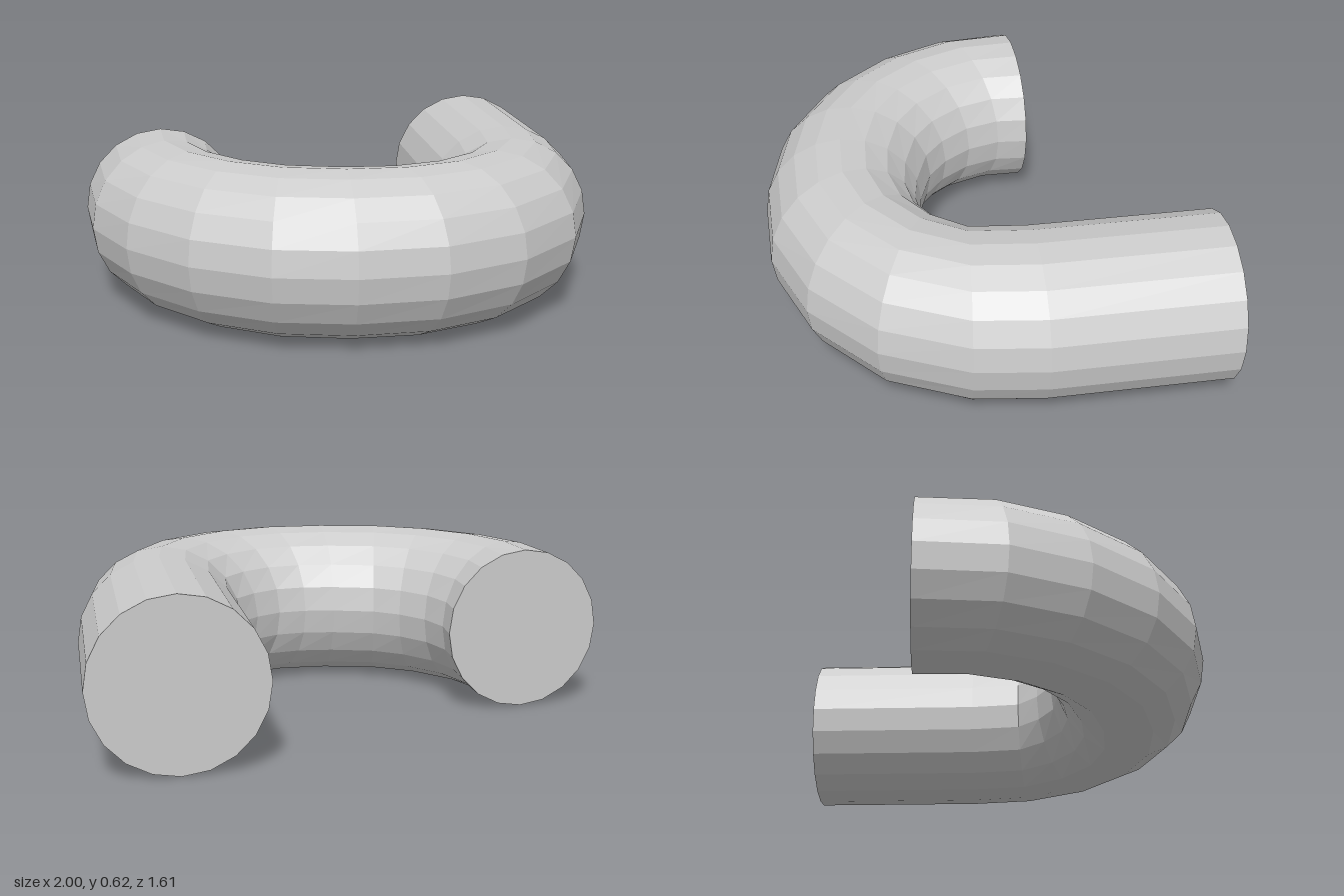
import * as THREE from 'three';

const SIDES = 20;
const RADIUS = 0.31;

// Cross-sections along the bend: outer x, outer z, inner x, inner z
const SECTIONS = [
  [1, -0.81, 0.38, -0.81],
  [1, -0.13, 0.38, -0.13],
  [0.965, 0.13, 0.36, 0.065],
  [0.825, 0.44, 0.28, 0.145],
  [0.57, 0.67, 0.18, 0.2],
  [0.265, 0.79, 0.07, 0.21],
  [-0.055, 0.8, -0.045, 0.19],
  [-0.345, 0.74, -0.2, 0.135],
  [-0.62, 0.58, -0.29, 0.06],
  [-0.835, 0.34, -0.365, -0.05],
  [-0.965, 0.06, -0.4, -0.18],
  [-1, -0.26, -0.39, -0.3],
];

// Point on the round section at a given angle; spread 0 gives its centre
function sectionPoint([ox, oz, ix, iz], angle, spread = 1) {
  const c = Math.cos(angle) * spread;
  return [
    (ox + ix) / 2 + (c * (ox - ix)) / 2,
    RADIUS + RADIUS * Math.sin(angle) * spread,
    (oz + iz) / 2 + (c * (oz - iz)) / 2,
  ];
}

function buildGeometry(positions, indices) {
  const geometry = new THREE.BufferGeometry();
  geometry.setAttribute('position', new THREE.Float32BufferAttribute(positions, 3));
  geometry.setIndex(indices);
  geometry.computeVertexNormals();
  return geometry;
}

// Faceted wall joining neighbouring sections
function wallGeometry() {
  const positions = [];
  const indices = [];
  SECTIONS.forEach((section, i) => {
    for (let j = 0; j < SIDES; j++) {
      positions.push(...sectionPoint(section, (j / SIDES) * Math.PI * 2));
      if (i === SECTIONS.length - 1) continue;
      const a = i * SIDES + j;
      const b = i * SIDES + ((j + 1) % SIDES);
      indices.push(a, b, a + SIDES, b, b + SIDES, a + SIDES);
    }
  });
  return buildGeometry(positions, indices);
}

// Flat disc closing one end
function capGeometry(section, isStart) {
  const positions = sectionPoint(section, 0, 0);
  const indices = [];
  for (let j = 0; j < SIDES; j++) {
    positions.push(...sectionPoint(section, (j / SIDES) * Math.PI * 2));
    const a = j + 1;
    const b = ((j + 1) % SIDES) + 1;
    indices.push(0, isStart ? b : a, isStart ? a : b);
  }
  return buildGeometry(positions, indices);
}

export function createModel() {
  const group = new THREE.Group();
  group.name = 'curvedPipe';
  const material = new THREE.MeshStandardMaterial({ color: 0xcccccc, flatShading: true });
  const add = (name, geometry) => {
    const mesh = new THREE.Mesh(geometry, material);
    mesh.name = name;
    group.add(mesh);
  };

  add('pipeWall', wallGeometry());
  add('leftEndCap', capGeometry(SECTIONS[0], true));
  add('rightEndCap', capGeometry(SECTIONS[SECTIONS.length - 1], false));
  return group;
}
